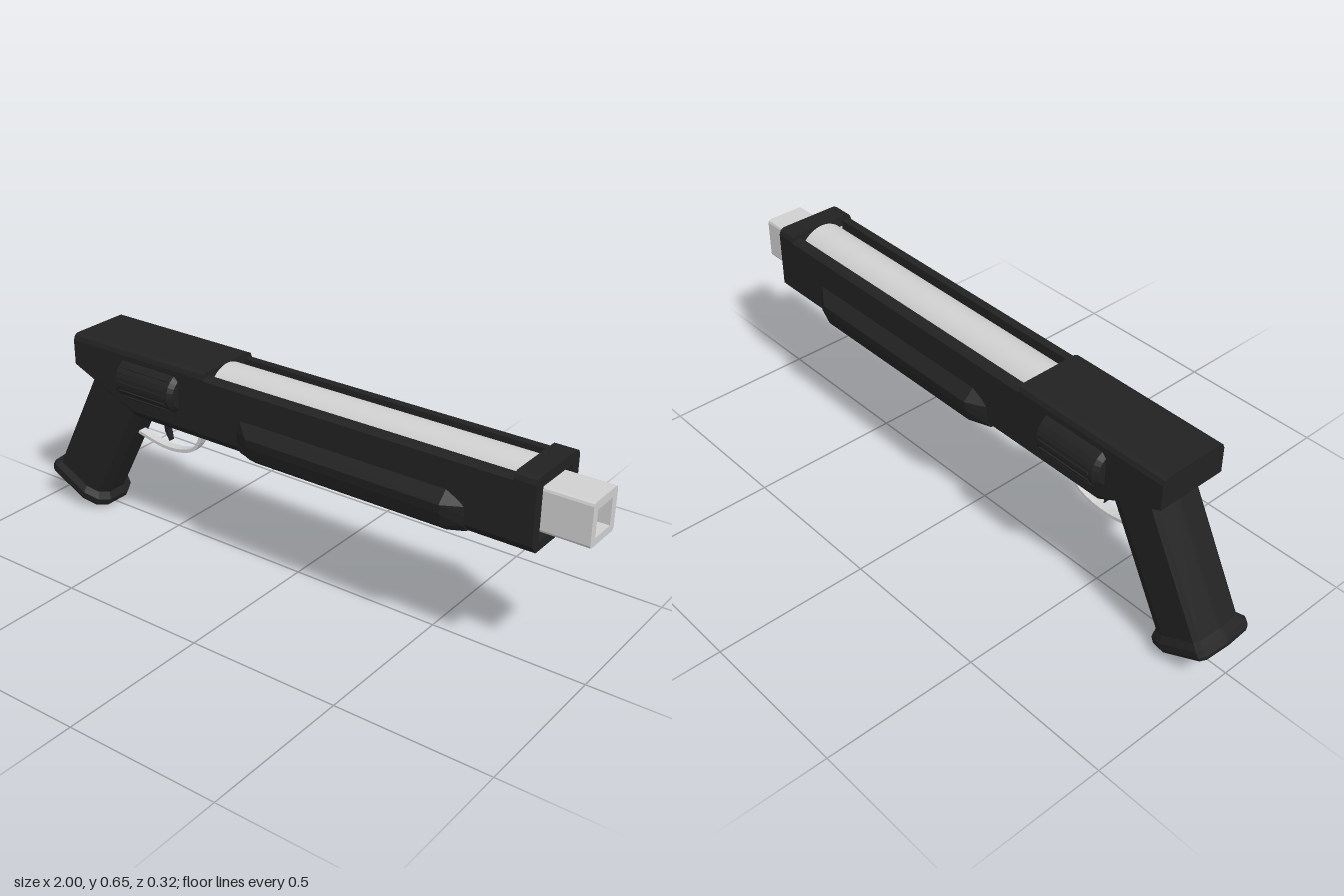
import * as THREE from 'three';

const black = new THREE.MeshStandardMaterial({ color: 0x222222 });
black.name = 'black polymer';
const steel = new THREE.MeshStandardMaterial({ color: 0xd0d0d0 });
steel.name = 'pale steel';

// Mirror a half outline of [y, z] points (top to bottom, z > 0) into a full ring
const ring = (half) => [...half, ...half.map(([y, z]) => [y, -z]).reverse()];

// Faceted solid through sections { x, pts } ordered by rising x
function loft(sections) {
  const pos = [];
  const rows = sections.map(({ x, pts }) => pts.map(([y, z]) => [x, y, z]));
  const tri = (a, b, c) => pos.push(...a, ...b, ...c);
  const n = rows[0].length;
  for (let s = 0; s < rows.length - 1; s++) {
    for (let i = 0; i < n; i++) {
      const j = (i + 1) % n, p = rows[s], q = rows[s + 1];
      tri(p[i], p[j], q[j]);
      tri(p[i], q[j], q[i]);
    }
  }
  const first = rows[0], last = rows[rows.length - 1];
  for (let i = 1; i < n - 1; i++) {
    tri(first[0], first[i + 1], first[i]);
    tri(last[0], last[i], last[i + 1]);
  }
  const g = new THREE.BufferGeometry();
  g.setAttribute('position', new THREE.Float32BufferAttribute(pos, 3));
  g.computeVertexNormals();
  return g;
}

const toShape = (pts) => new THREE.Shape(pts.map(([y, z]) => new THREE.Vector2(z, y)));
const square = (cy, h) => [[cy + h, h], [cy + h, -h], [cy - h, -h], [cy - h, h]];

// Extrude a [y, z] outline along x, with an optional hole
function extrudeX(pts, x0, x1, hole) {
  const shape = toShape(pts);
  if (hole) shape.holes.push(new THREE.Path(hole.map(([y, z]) => new THREE.Vector2(z, y))));
  const g = new THREE.ExtrudeGeometry(shape, { depth: x1 - x0, bevelEnabled: false });
  return g.rotateY(Math.PI / 2).translate(x0, 0, 0);
}

// Extrude a side outline of [x, y] points across z, centred
function extrudeZ(pts, width) {
  const shape = new THREE.Shape(pts.map(([x, y]) => new THREE.Vector2(x, y)));
  return new THREE.ExtrudeGeometry(shape, { depth: width, bevelEnabled: false }).translate(0, 0, -width / 2);
}

// Constant-thickness band along a smooth curve, as a side outline
function band(pts, thickness, steps) {
  const curve = new THREE.CatmullRomCurve3(pts.map(([x, y]) => new THREE.Vector3(x, y, 0)));
  const outer = [], inner = [];
  for (let i = 0; i <= steps; i++) {
    const p = curve.getPoint(i / steps), t = curve.getTangent(i / steps);
    outer.push([p.x - t.y * thickness / 2, p.y + t.x * thickness / 2]);
    inner.unshift([p.x + t.y * thickness / 2, p.y - t.x * thickness / 2]);
  }
  return [...outer, ...inner];
}

export function createModel() {
  const model = new THREE.Group();
  const add = (name, geometry, material, parent = model) => {
    const m = new THREE.Mesh(geometry, material);
    m.name = name;
    parent.add(m);
    return m;
  };

  // Receiver, with its underside rising toward the rear
  const bodyHalf = [[0.652, 0.1], [0.646, 0.112], [0.632, 0.118], [0.45, 0.118], [0.422, 0.095]];
  const clipped = (low) => ring(bodyHalf.map(([y, z]) => [Math.max(y, low), z]));
  add('receiver', loft([
    { x: -0.81, pts: clipped(0.55) },
    { x: -0.57, pts: clipped(0.42) },
    { x: -0.27, pts: clipped(0.42) },
  ]), black);

  // Open-topped barrel housing and square front frame
  add('barrelHousing', extrudeX(ring([
    [0.5, 0.083], [0.636, 0.083], [0.636, 0.108], [0.628, 0.118], [0.45, 0.118], [0.422, 0.095],
  ]), -0.27, 0.79), black);
  add('frontFrame', extrudeX(ring(bodyHalf), 0.79, 0.86, square(0.534, 0.083)), black);
  add('framePlate', new THREE.BoxGeometry(0.008, 0.17, 0.17).translate(0.796, 0.534, 0), steel);

  // Round barrel showing through the slot
  const barrel = add('barrel', new THREE.CylinderGeometry(0.09, 0.09, 1.06, 48), steel);
  barrel.rotation.z = Math.PI / 2;
  barrel.position.set(0.26, 0.56, 0);

  // Square muzzle with softened edges and a square bore
  const h = 0.068, c = 0.01, cy = 0.537;
  add('muzzle', extrudeX(ring([
    [cy + h, h - c], [cy + h - 0.003, h - 0.003], [cy + h - c, h],
    [cy - h + c, h], [cy - h + 0.003, h - 0.003], [cy - h, h - c],
  ]), 0.798, 1.0, square(cy - 0.002, 0.042)), steel);

  // Faceted forend, tapering into the housing at both ends
  const fullForend = ring([[0.543, 0.113], [0.504, 0.153], [0.475, 0.149], [0.432, 0.136], [0.408, 0.105], [0.4, 0.085]]);
  const endForend = ring([[0.543, 0.112], [0.504, 0.121], [0.475, 0.121], [0.445, 0.119], [0.42, 0.1], [0.418, 0.08]]);
  add('forend', loft([
    { x: -0.14, pts: endForend },
    { x: -0.08, pts: fullForend },
    { x: 0.59, pts: fullForend },
    { x: 0.65, pts: endForend },
  ]), black);

  // Ribbed half-drums on both sides of the receiver
  for (const side of [1, -1]) {
    const drum = new THREE.Group();
    drum.name = side > 0 ? 'leftDrum' : 'rightDrum';
    drum.position.set(-0.49, 0.555, side * 0.092);
    model.add(drum);
    const profile = [[0, -0.12], [0.052, -0.12], [0.066, -0.106], [0.066, 0.106], [0.052, 0.12], [0, 0.12]];
    const core = new THREE.LatheGeometry(profile.map(([r, y]) => new THREE.Vector2(r, y)), 24).toNonIndexed();
    core.computeVertexNormals();
    add('drumCore', core.rotateZ(Math.PI / 2), black, drum);
    for (let i = -3; i <= 3; i++) {
      const rib = new THREE.BoxGeometry(0.19, 0.011, 0.012).translate(0, 0, side * 0.064);
      add('drumRib', rib.rotateX(i * 0.42), black, drum);
    }
  }

  // Raked grip with a flared base; local x runs down the grip, local y forward
  const grip = new THREE.Group();
  grip.name = 'grip';
  grip.position.set(-0.893, 0.06, 0);
  grip.rotation.z = -2.053;
  model.add(grip);
  const gripRing = (d, w) => ring([
    [1, 0.4], [0.82, 0.78], [0.4, 1], [-0.82, 1], [-0.94, 0.85], [-1, 0.05],
  ].map(([y, z]) => [y * d, z * w]));
  add('gripHandle', loft([
    { x: -0.5, pts: gripRing(0.1, 0.088) },
    { x: -0.03, pts: gripRing(0.1, 0.088) },
  ]), black, grip);
  add('gripBase', loft([
    { x: -0.05, pts: gripRing(0.1, 0.088) },
    { x: -0.032, pts: gripRing(0.12, 0.102) },
    { x: -0.012, pts: gripRing(0.122, 0.102) },
    { x: 0, pts: gripRing(0.116, 0.096) },
  ]), black, grip);

  // Trigger guard strap and curved trigger
  add('triggerGuard', extrudeZ(band([
    [-0.376, 0.435], [-0.379, 0.37], [-0.41, 0.32], [-0.46, 0.299], [-0.53, 0.293], [-0.6, 0.304], [-0.67, 0.322],
  ], 0.011, 18), 0.03), steel);
  add('trigger', extrudeZ([
    [-0.525, 0.43], [-0.535, 0.39], [-0.533, 0.35], [-0.515, 0.318], [-0.521, 0.355], [-0.515, 0.39], [-0.49, 0.43],
  ], 0.022), black);

  return model;
}
